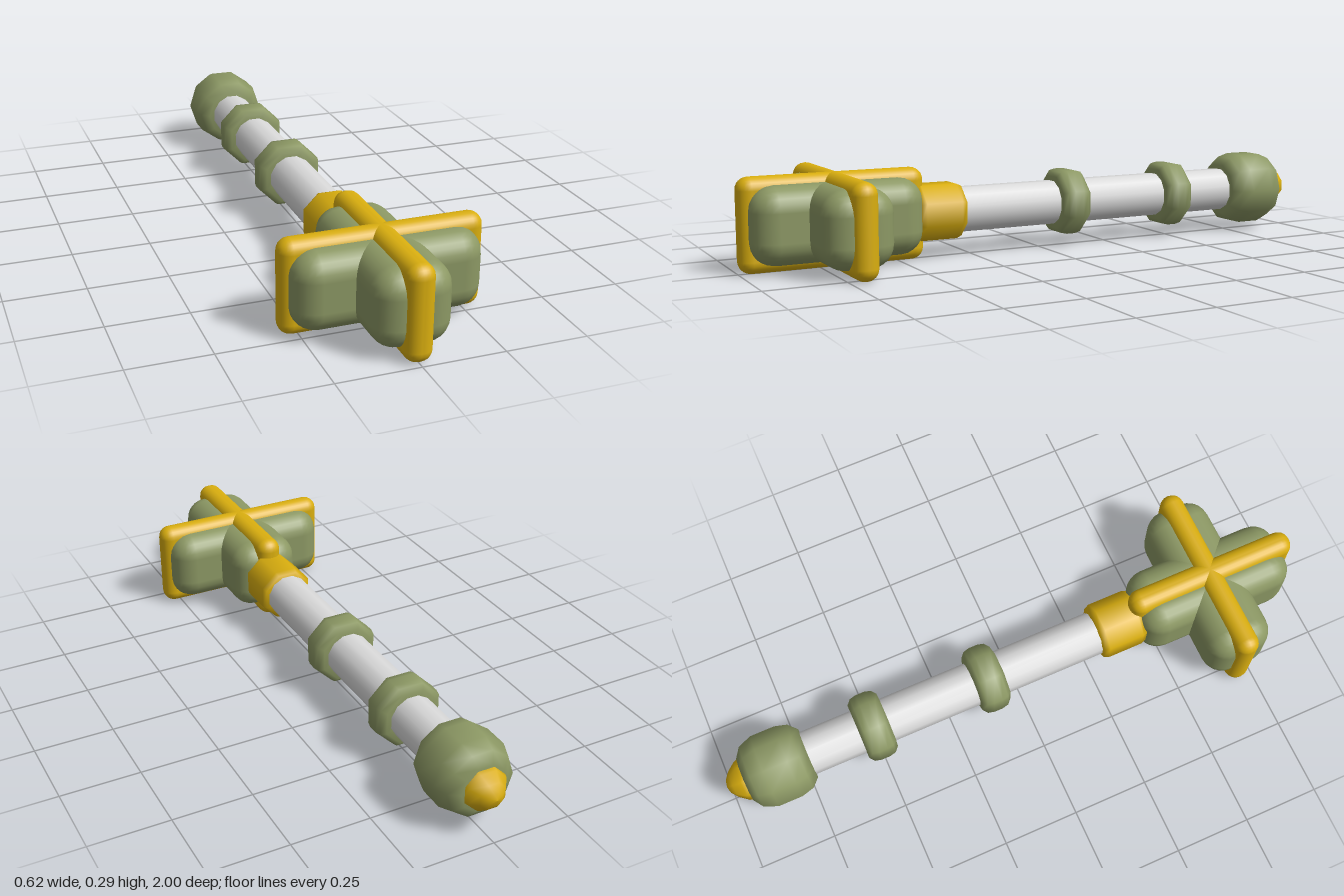
import * as THREE from 'three';
import { RoundedBoxGeometry } from 'three/addons/geometries/RoundedBoxGeometry.js';

const AXIS_Y = 0.145;
const HEAD_Z = 0.705;

export function createModel() {
  const model = new THREE.Group();
  model.name = 'mace';

  const paint = (name, color) => {
    const m = new THREE.MeshStandardMaterial({ color });
    m.name = name;
    return m;
  };
  const gold = paint('gold', 0xd9ae0f);
  const green = paint('olive green', 0x8c9864);
  const steel = paint('pale steel', 0xdadada);

  const add = (name, geometry, material, z) => {
    const mesh = new THREE.Mesh(geometry, material);
    mesh.name = name;
    mesh.position.set(0, AXIS_Y, z);
    model.add(mesh);
    return mesh;
  };

  // Profile of [radius, z] points turned around the z axis, z ascending
  const turned = (points, sides) => {
    const profile = points.map(([r, z]) => new THREE.Vector2(r, z));
    return new THREE.LatheGeometry(profile, sides, Math.PI / sides).rotateX(Math.PI / 2);
  };

  // Flanged head: two crossed padded blocks, each with a thin gold blade rim
  add('sideLobes', new RoundedBoxGeometry(0.57, 0.24, 0.22, 3, 0.075), green, HEAD_Z);
  add('frontBackLobes', new RoundedBoxGeometry(0.235, 0.24, 0.54, 3, 0.075), green, HEAD_Z);
  add('sideBlade', new RoundedBoxGeometry(0.615, 0.29, 0.08, 3, 0.039), gold, HEAD_Z - 0.003);
  add('frontBackBlade', new RoundedBoxGeometry(0.084, 0.29, 0.585, 3, 0.039), gold, HEAD_Z + 0.0025);

  // Shaft and the collar joining it to the head
  add('shaft', turned([[0.073, -0.8], [0.073, 0.4]], 12), steel, 0);
  add('collar', turned([
    [0.06, 0.288], [0.086, 0.292], [0.094, 0.31], [0.094, 0.43], [0.086, 0.45], [0, 0.455],
  ], 8), gold, 0);

  // Grip rings
  for (const z of [-0.1, -0.5]) {
    add('gripRing', turned([
      [0.06, -0.05], [0.092, -0.05], [0.108, -0.036], [0.113, -0.015],
      [0.113, 0.015], [0.108, 0.036], [0.092, 0.05], [0.06, 0.05],
    ], 8), green, z);
  }

  // Pommel and its domed cap
  add('pommel', turned([
    [0, -0.108], [0.075, -0.108], [0.108, -0.085], [0.126, -0.04],
    [0.126, 0.04], [0.115, 0.08], [0.088, 0.105], [0, 0.108],
  ], 10), green, -0.83);
  add('pommelCap', turned([
    [0, -1], [0.022, -0.995], [0.044, -0.978], [0.066, -0.95], [0.074, -0.925], [0.06, -0.9],
  ], 8), gold, 0);

  return model;
}
